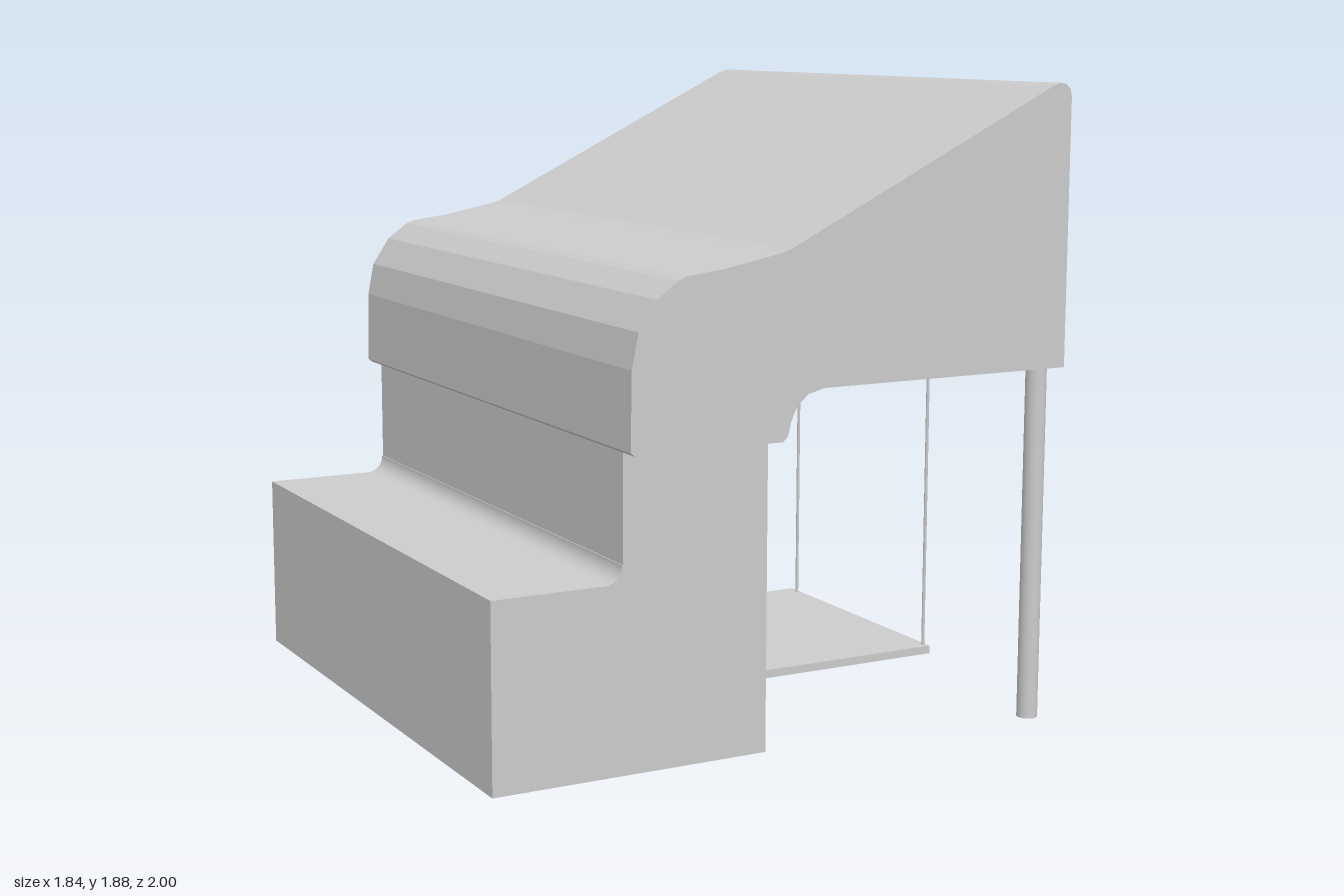
import * as THREE from 'three';

export function createModel() {
  const root = new THREE.Group();
  const mat = new THREE.MeshStandardMaterial({ color: 0xcccccc });

  const add = (name, geo, parent = root) => {
    const m = new THREE.Mesh(geo, mat);
    m.name = name;
    parent.add(m);
    return m;
  };
  const group = (name) => {
    const g = new THREE.Group();
    g.name = name;
    root.add(g);
    return g;
  };
  // box from min/max limits
  const box = (name, x0, x1, y0, y1, z0, z1, parent) =>
    add(name, new THREE.BoxGeometry(x1 - x0, y1 - y0, z1 - z0)
      .translate((x0 + x1) / 2, (y0 + y1) / 2, (z0 + z1) / 2), parent);
  // cylinder of radius r between two points
  const rod = (name, a, b, r, parent, sides = 16, r2 = r) => {
    const p = new THREE.Vector3(...a), q = new THREE.Vector3(...b);
    const m = add(name, new THREE.CylinderGeometry(r2, r, p.distanceTo(q), sides), parent);
    m.position.copy(p).add(q).multiplyScalar(0.5);
    m.quaternion.setFromUnitVectors(new THREE.Vector3(0, 1, 0), q.sub(p).normalize());
    return m;
  };
  const shapeOf = (pts) => new THREE.Shape(pts.map(p => new THREE.Vector2(...p)));
  // xy profile extruded from z0 to z1
  const slab = (name, shape, z0, z1, parent) =>
    add(name, new THREE.ExtrudeGeometry(shape, { depth: z1 - z0, bevelEnabled: false, curveSegments: 16 })
      .translate(0, 0, z0), parent);

  // Hood: one side profile, notched in the middle for the work opening
  const hood = group('hood');
  const upper = [
    [0.87, 1.84], [0.865, 1.862], [0.85, 1.876], [0.83, 1.88], [0.805, 1.872],
    [-0.06, 1.447], [-0.09, 1.438], [-0.17, 1.422], [-0.26, 1.405], [-0.38, 1.39], [-0.405, 1.38],
    [-0.47, 1.333], [-0.525, 1.25], [-0.545, 1.15], [-0.548, 0.93], [-0.535, 0.92],
    [-0.08, 0.92], [-0.065, 0.935], [-0.055, 0.975], [-0.035, 1.018], [0, 1.047], [0.05, 1.06],
  ];
  const full = shapeOf([[0.87, 1.06], ...upper]);
  const notched = shapeOf([[0.87, 1.395], ...upper, [0.12, 1.06], [0.12, 1.395]]);
  slab('hoodLeftEnd', full, 0.73, 1.0, hood);
  slab('hoodMiddle', notched, -0.58, 0.73, hood);
  slab('hoodRightEnd', full, -0.91, -0.58, hood);

  // Stepped base with a fillet at the step
  const base = new THREE.Shape();
  base.moveTo(-0.92, 0.02);
  base.lineTo(-0.08, 0.02);
  base.lineTo(-0.08, 0.93);
  base.lineTo(-0.53, 0.93);
  base.lineTo(-0.53, 0.61);
  base.absarc(-0.585, 0.61, 0.052, 0, -Math.PI / 2, true);
  base.lineTo(-0.92, 0.558);
  base.closePath();
  slab('base', base, -0.84, 0.92);
  box('baseControlBox', -0.08, -0.022, 0.62, 0.845, -0.8, -0.635);

  // Front legs
  for (const z of [0.935, -0.853]) rod('leg', [0.82, 0, z], [0.82, 1.06, z], 0.031, root, 24);

  // Hanging tray and its cables
  const tray = group('hangingTray');
  box('trayPlate', -0.035, 0.79, 0.08, 0.105, -0.36, 0.47, tray);
  for (const z of [0.447, -0.313]) {
    rod('backCable', [-0.012, 0.1, z], [-0.012, 1.06, z], 0.005, tray, 8);
    rod('frontCable', [0.78, 0.1, z], [0.78, 1.395, z], 0.005, tray, 8);
  }

  // Conveyor: tapered end plates, pulleys, cross rods with small clips
  const conveyor = group('conveyor');
  const plate = new THREE.Shape();
  plate.absarc(0.72, 1.225, 0.125, -1.55, 1.95, false);
  plate.absarc(0.2, 1.1, 0.03, 1.95, 4.73, false);
  plate.closePath();
  for (const [z, s] of [[0.725, -1], [-0.575, 1]]) {
    slab('endPlate', plate, z - 0.005, z + 0.005, conveyor);
    rod('pulley', [0.72, 1.225, z], [0.72, 1.225, z + s * 0.03], 0.11, conveyor, 32);
    rod('pulleyHub', [0.72, 1.225, z], [0.72, 1.225, z + s * 0.045], 0.03, conveyor);
  }
  for (const [y, x] of [[1.322, 0.77], [1.15, 0.79]]) {
    for (const d of [-0.011, 0.011])
      rod('crossRod', [x - d, y + d, -0.57], [x - d, y + d, 0.72], 0.007, conveyor, 8);
    for (const zc of [0.62, 0.33, 0.05, -0.2, -0.45])
      for (const d of [-0.055, 0, 0.055])
        box('clip', x - 0.016, x + 0.016, y - 0.012, y + 0.022, zc + d - 0.014, zc + d + 0.014, conveyor);
  }

  // Rails across the underside opening
  const rails = group('undersideRails');
  box('railSupport', 0.12, 0.15, 1.065, 1.085, -0.58, 0.73, rails);
  for (const z of [0.48, 0.27, 0, -0.25, -0.44]) {
    box('rail', 0.12, 0.48, 1.085, 1.105, z - 0.011, z + 0.011, rails);
    box('railStop', 0.46, 0.48, 1.06, 1.122, z - 0.008, z + 0.008, rails);
  }

  // Control panel on the end face
  const panel = group('controlPanel');
  box('screen', 0.87, 0.878, 1.62, 1.745, -0.03, 0.19, panel);
  rod('dialBase', [0.87, 1.68, -0.125], [0.885, 1.68, -0.125], 0.04, panel, 24);
  rod('dial', [0.885, 1.68, -0.125], [0.915, 1.68, -0.125], 0.024, panel, 24, 0.02);
  rod('buttonStem', [0.87, 1.68, 0.29], [0.886, 1.68, 0.29], 0.01, panel);
  rod('button', [0.886, 1.68, 0.29], [0.903, 1.68, 0.29], 0.017, panel);

  // Grilles of crossed bars
  const grilles = group('grilles');
  for (const [y, z] of [[1.7, 0.57], [1.7, -0.4], [1.545, 0.57], [1.545, 0.25], [1.545, -0.07], [1.545, -0.4]]) {
    for (const d of [-0.035, 0, 0.035])
      box('grilleBar', 0.868, 0.874, y + d - 0.005, y + d + 0.005, z - 0.1, z + 0.1, grilles);
    for (const d of [-0.075, -0.025, 0.025, 0.075])
      box('grillePost', 0.868, 0.879, y - 0.052, y + 0.052, z + d - 0.007, z + d + 0.007, grilles);
  }

  // Housings on the rear side wall
  box('sideBox', 0.25, 0.42, 1.165, 1.37, -0.96, -0.91);
  const cover = shapeOf([
    [0.91, 1.165], [0.965, 1.165], [0.985, 1.18], [1.0, 1.21], [1.0, 1.325], [0.985, 1.355], [0.96, 1.385], [0.91, 1.385],
  ]);
  add('roundedSideCover', new THREE.ExtrudeGeometry(cover, { depth: 0.17, bevelEnabled: false }).rotateY(Math.PI / 2));

  // Valve with lever
  const valve = group('valve');
  rod('valveFlange', [0.725, 1.31, -0.91], [0.725, 1.31, -0.92], 0.035, valve, 20);
  rod('valveBody', [0.725, 1.31, -0.92], [0.725, 1.31, -0.955], 0.022, valve);
  rod('valveCross', [0.69, 1.31, -0.938], [0.765, 1.31, -0.938], 0.013, valve);
  rod('valveLever', [0.725, 1.31, -0.94], [0.735, 1.4, -0.94], 0.009, valve, 10, 0.006);
  add('leverTip', new THREE.SphereGeometry(0.013, 12, 8), valve).position.set(0.735, 1.4, -0.94);

  return root;
}
